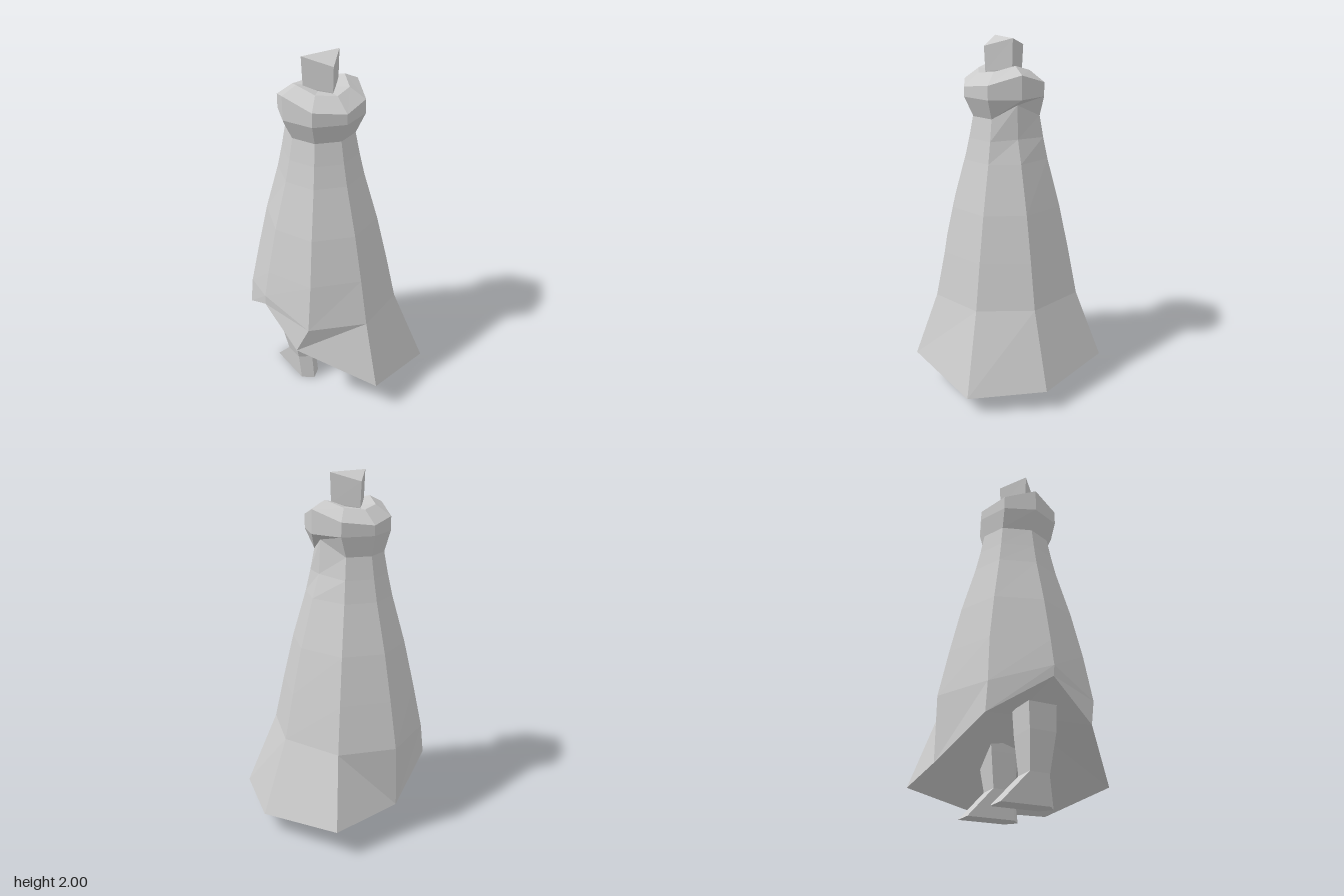
import * as THREE from 'three';

const CX = -0.09, CZ = -0.05;
const material = new THREE.MeshStandardMaterial({ color: 0xcccccc, flatShading: true, side: THREE.DoubleSide });

// Skins a list of closed cross-sections (top to bottom) with flat facets.
// flip(i, k) chooses the other diagonal for a quad.
function loft(name, rows, flip = () => false) {
  const pos = [];
  for (let i = 0; i < rows.length - 1; i++) {
    const n = rows[i].length;
    for (let k = 0; k < n; k++) {
      const a = rows[i][k], b = rows[i][(k + 1) % n];
      const d = rows[i + 1][k], c = rows[i + 1][(k + 1) % n];
      if (flip(i, k)) pos.push(...a, ...b, ...d, ...b, ...c, ...d);
      else pos.push(...a, ...b, ...c, ...a, ...c, ...d);
    }
  }
  const geo = new THREE.BufferGeometry();
  geo.setAttribute('position', new THREE.Float32BufferAttribute(pos, 3));
  geo.computeVertexNormals();
  const mesh = new THREE.Mesh(geo, material);
  mesh.name = name;
  return mesh;
}

// Ring of n points about the body axis; height may depend on the angle.
function ring(n, r, height) {
  return Array.from({ length: n }, (_, k) => {
    const t = (k / n) * Math.PI * 2;
    const y = typeof height === 'function' ? height(t) : height;
    return [CX + r * Math.cos(t), y, CZ + r * Math.sin(t)];
  });
}

// Cloak ring, fuller at the back than at the front.
function cloakRing(r, y) {
  const row = ring(8, r, y);
  for (const k of [5, 6, 7]) row[k][2] -= 0.03;
  return row;
}

// Lower edge of the neck, raised at the left side.
function neckRing() {
  const row = cloakRing(0.183, 1.58);
  row[0] = [0.09, 1.655, CZ];
  return row;
}

// Eight-sided cloak with a windswept, uneven hem and a closed underside.
function makeCloak() {
  const rows = [neckRing()];
  for (const [y, r] of [[1.46, 0.206], [1.34, 0.233], [1.07, 0.31], [0.81, 0.37], [0.55, 0.425]]) {
    rows.push(cloakRing(r, y));
  }
  rows[1][0] = [0.1, 1.47, CZ];
  const last = rows[5];
  last[3] = [-0.39, 0.55, 0.24];
  last[4] = [-0.49, 0.66, CZ];
  last[5] = [-0.4, 0.55, -0.37];
  const hem = [
    [0.49, 0.12, -0.055], [0.35, 0.1, 0.365], [-0.11, 0.19, 0.505], [-0.44, 0.4, 0.19],
    [-0.49, 0.6, -0.055], [-0.41, 0.385, -0.385], [-0.1, 0.2, -0.51], [0.305, 0.165, -0.5],
  ];
  const group = new THREE.Group();
  group.name = 'cloak';
  group.add(
    loft('cloakOuter', [...rows, hem], (i, k) => i === 5 && k === 6),
    loft('cloakUnderside', [hem, ring(8, 0, 0.52)]),
  );
  return group;
}

// Bulging collar, lower at front and back than at the sides.
function makeCollar() {
  return loft('collar', [
    ring(8, 0, 1.82),
    ring(8, 0.15, t => 1.86 - 0.045 * Math.abs(Math.sin(t))),
    ring(8, 0.235, t => 1.82 - 0.075 * Math.abs(Math.sin(t))),
    ring(8, 0.235, 1.69),
    neckRing(),
  ]);
}

// Diamond-shaped head with a ridge running side to side.
function makeHead() {
  const top = ring(4, 0.117, t => 2 - 0.045 * Math.abs(Math.sin(t)));
  const mid = [CX, 2, CZ];
  return loft('head', [
    [top[0], mid, top[2], mid],
    top,
    ring(4, 0.11, t => 1.84 - 0.02 * Math.abs(Math.sin(t))),
    ring(4, 0.1, 1.78),
  ]);
}

// Five-sided leg with a ridge down the front; side = -1 or 1 is outward.
function makeLeg(side, x) {
  const section = (y, inner, outer, ridge, front, back) => [
    [x + side * outer, y, front], [x, y, ridge], [x - side * inner, y, front],
    [x - side * inner, y, back], [x + side * outer, y, back],
  ];
  const group = new THREE.Group();
  group.name = side < 0 ? 'rightLeg' : 'leftLeg';
  const ankle = section(0.16, 0.05, 0.07, 0.05, 0.01, -0.1);
  group.add(loft('shin', [
    section(0.5, 0.06, 0.12, 0.08, 0.03, -0.13),
    section(0.36, 0.06, 0.11, 0.07, 0.03, -0.12),
    ankle,
  ]));
  group.add(loft('foot', [
    ankle,
    section(0, 0.06, 0.06, 0.07, 0.02, -0.25),
    section(0, 0, 0, -0.1, -0.1, -0.1),
  ]));
  return group;
}

export function createModel() {
  const model = new THREE.Group();
  model.name = 'cloakedFigure';
  model.add(makeCloak(), makeCollar(), makeHead(), makeLeg(-1, -0.25), makeLeg(1, 0.13));
  return model;
}
